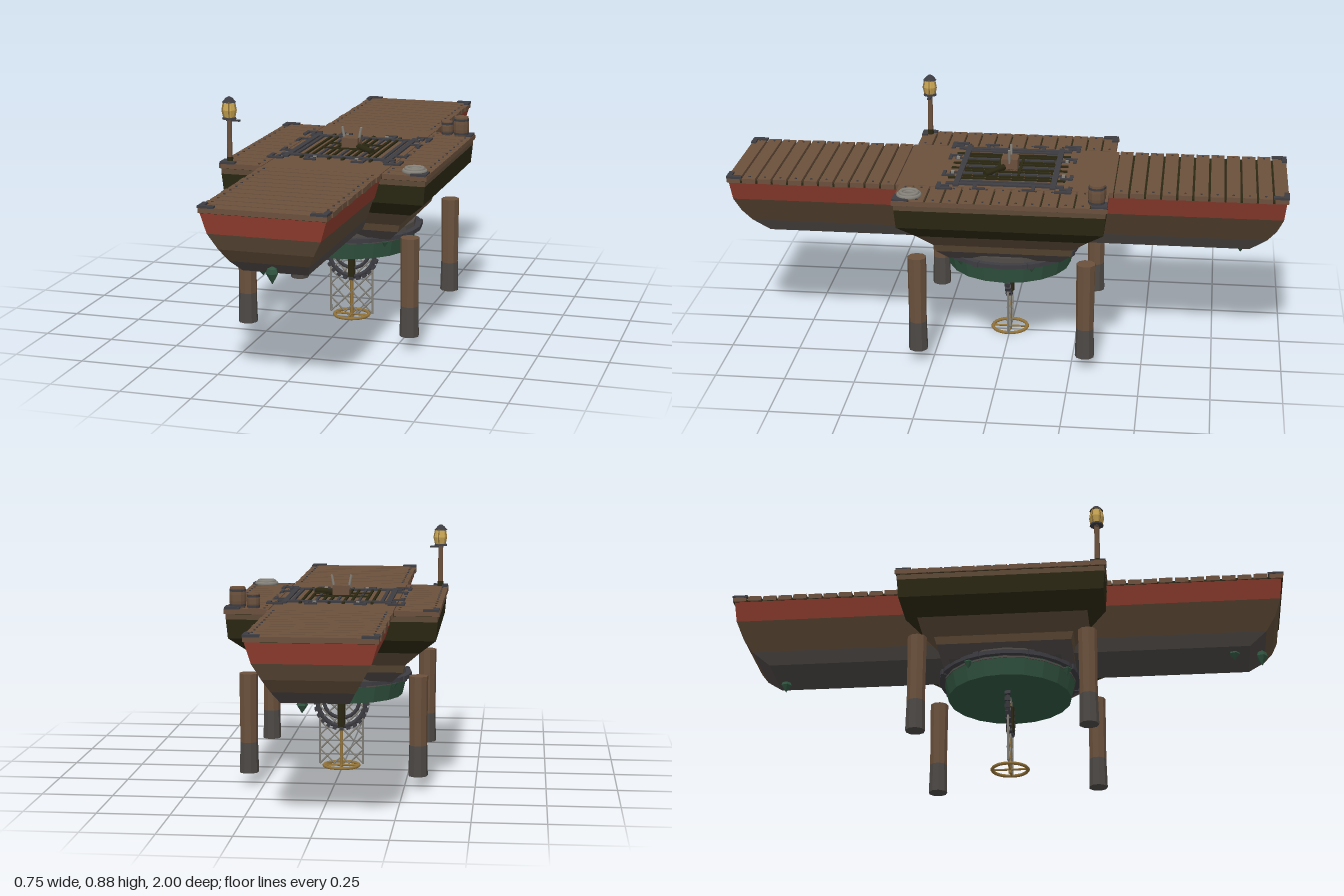
import * as THREE from 'three';

const mat = (name, color) => { const m = new THREE.MeshStandardMaterial({ color }); m.name = name; return m; };

export function createModel() {
  const root = new THREE.Group();
  root.name = 'floatingPlatform';
  const wood = mat('deckWood', 0x6a503c);
  const hullWood = mat('hullWood', 0x5c4936);
  const bilge = mat('bilgeGrey', 0x4c4845);
  const olive = mat('tarOlive', 0x2a2712);
  const red = mat('redPaint', 0x8e3b2e);
  const green = mat('greenMetal', 0x315440);
  const iron = mat('darkIron', 0x3c3c42);
  const brass = mat('brass', 0x94743a);
  const steel = mat('paleSteel', 0x85827a);
  const glass = mat('lampGlass', 0xc9a653);

  const flat = g => { const n = g.index ? g.toNonIndexed() : g; n.computeVertexNormals(); return n; };
  const add = (name, geo, m, x = 0, y = 0, z = 0, parent = root) => {
    const mesh = new THREE.Mesh(geo, m);
    mesh.name = name;
    mesh.position.set(x, y, z);
    parent.add(mesh);
    return mesh;
  };
  const box = (name, w, h, d, m, x, y, z, parent) => add(name, new THREE.BoxGeometry(w, h, d), m, x, y, z, parent);
  const cyl = (name, rt, rb, y0, y1, sides, m, x = 0, z = 0) =>
    add(name, flat(new THREE.CylinderGeometry(rt, rb, y1 - y0, sides)), m, x, (y0 + y1) / 2, z);
  const rod = (name, a, b, r, m, sides = 6) => {
    const p = new THREE.Vector3(...a), q = new THREE.Vector3(...b), d = q.clone().sub(p);
    const mid = p.clone().add(q).multiplyScalar(0.5);
    const mesh = add(name, new THREE.CylinderGeometry(r, r, d.length(), sides), m, mid.x, mid.y, mid.z);
    mesh.quaternion.setFromUnitVectors(new THREE.Vector3(0, 1, 0), d.normalize());
    return mesh;
  };
  const four = fn => { for (const sx of [-1, 1]) for (const sz of [-1, 1]) fn(sx, sz); };

  // Hull shells: rectangular rings [y, halfX, halfZ] from top to bottom, one colour per band
  const hull = (name, rings, mats) => {
    const corner = ([y, x, z], i) => [[x, y, z], [x, y, -z], [-x, y, -z], [-x, y, z]][i % 4];
    mats.forEach((m, k) => {
      const pos = [], a = rings[k], b = rings[k + 1];
      for (let i = 0; i < 4; i++) {
        const A = corner(a, i), B = corner(a, i + 1), C = corner(b, i + 1), D = corner(b, i);
        pos.push(...A, ...D, ...C, ...A, ...C, ...B);
      }
      if (k === mats.length - 1) {
        const c = [0, 1, 2, 3].map(i => corner(b, i));
        pos.push(...c[0], ...c[3], ...c[2], ...c[0], ...c[2], ...c[1]);
      }
      const g = new THREE.BufferGeometry();
      g.setAttribute('position', new THREE.Float32BufferAttribute(pos, 3));
      g.computeVertexNormals();
      add(name + 'Band' + (k + 1), g, m);
    });
  };
  hull('longHull', [[0.628, 0.212, 0.99], [0.555, 0.19, 0.983], [0.5, 0.16, 0.962], [0.455, 0.135, 0.93], [0.41, 0.112, 0.87]],
    [red, hullWood, hullWood, bilge]);
  hull('crossHull', [[0.628, 0.368, 0.368], [0.605, 0.368, 0.368], [0.538, 0.362, 0.362], [0.485, 0.302, 0.302],
    [0.432, 0.248, 0.248], [0.405, 0.24, 0.24], [0.365, 0.2, 0.2]],
    [hullWood, olive, olive, hullWood, hullWood, bilge]);

  // Deck: dark underlay, solid centre, planks with nails
  box('longUnderlay', 0.424, 0.008, 1.99, olive, 0, 0.628, 0);
  box('crossUnderlay', 0.74, 0.008, 0.74, olive, 0, 0.628, 0);
  box('centreDeck', 0.43, 0.018, 0.77, wood, 0, 0.634, 0);
  const nail = new THREE.CylinderGeometry(0.004, 0.004, 0.004, 6);
  const pitch = 0.0559;
  for (const s of [-1, 1]) {
    for (let i = 0; i < 11; i++) {
      const z = s * (0.385 + pitch * (i + 0.5));
      box('endPlank', i % 3 ? 0.43 : 0.436, 0.018, pitch - 0.008, wood, 0, 0.634, z);
      for (const sx of [-1, 1]) add('nail', nail, iron, sx * 0.195, 0.644, z);
    }
    for (let i = 0; i < 13; i++) {
      const z = -0.375 + (0.75 / 13) * (i + 0.5);
      box('sidePlank', 0.157, 0.018, 0.75 / 13 - 0.007, wood, s * 0.2965, 0.634, z);
      for (const x of [0.235, 0.355]) add('nail', nail, iron, s * x, 0.644, z);
    }
    box('sideRim', 0.006, 0.014, 0.75, wood, s * 0.372, 0.633, 0);
  }

  // Iron corner plates and stepped brackets round the hatch
  const ell = (name, x, z, sx, sz, len, w) => {
    box(name, len, 0.008, w, iron, x - sx * len / 2, 0.645, z - sz * w / 2);
    box(name, w, 0.008, len, iron, x - sx * w / 2, 0.645, z - sz * len / 2);
  };
  four((sx, sz) => {
    ell('endCornerPlate', sx * 0.216, sz * 0.998, sx, sz, 0.055, 0.018);
    ell('sideCornerPlate', sx * 0.373, sz * 0.373, sx, sz, 0.055, 0.022);
    ell('hatchBracket', sx * 0.245, sz * 0.24, sx, sz, 0.06, 0.014);
    ell('hatchBracket', sx * 0.205, sz * 0.235, -sx, sz, 0.04, 0.012);
    ell('hatchBracket', sx * 0.11, sz * 0.235, sx, sz, 0.045, 0.012);
    ell('hatchBracket', sx * 0.235, sz * 0.11, sx, sz, 0.045, 0.012);
    box('hatchBolt', 0.012, 0.014, 0.012, steel, sx * 0.077, 0.645, sz * 0.2);
  });

  // Hatch grille
  for (const s of [-1, 1]) {
    box('hatchFrame', 0.02, 0.008, 0.42, iron, s * 0.185, 0.645, 0);
    box('hatchFrame', 0.42, 0.008, 0.02, iron, 0, 0.646, s * 0.172);
    box('hatchRail', 0.012, 0.008, 0.34, iron, s * 0.16, 0.645, 0);
    box('grilleCross', 0.2, 0.006, 0.009, olive, 0, 0.649, s * 0.04);
  }
  for (let i = -5; i <= 5; i++) {
    box('grilleBar', 0.009, 0.008, i % 2 ? 0.42 : 0.32, i % 3 ? olive : iron, i * 0.0255, 0.645, 0);
  }

  // Winch block with splayed prongs and crank
  box('winchBlock', 0.06, 0.045, 0.06, wood, 0, 0.663, 0);
  for (const s of [-1, 1]) rod('prong', [s * 0.025, 0.665, 0], [s * 0.036, 0.722, 0], 0.005, steel);
  rod('crank', [0.03, 0.656, 0.02], [0.1, 0.652, 0.08], 0.012, olive);

  // Lamp post
  const lx = -0.345, lz = 0.343;
  cyl('lampFoot', 0.011, 0.012, 0.642, 0.662, 8, olive, lx, lz);
  cyl('lampPost', 0.009, 0.01, 0.66, 0.797, 8, wood, lx, lz);
  box('lampArm', 0.05, 0.006, 0.012, iron, lx + 0.015, 0.793, lz);
  cyl('lampBase', 0.023, 0.025, 0.797, 0.804, 10, iron, lx, lz);
  cyl('lampGlassLower', 0.025, 0.018, 0.804, 0.83, 10, glass, lx, lz);
  cyl('lampGlassUpper', 0.019, 0.025, 0.83, 0.859, 10, glass, lx, lz);
  for (let i = 0; i < 5; i++) {
    const a = i * Math.PI * 0.4, c = Math.cos(a), s = Math.sin(a);
    rod('lampBar', [lx + 0.02 * c, 0.804, lz + 0.02 * s], [lx + 0.026 * c, 0.83, lz + 0.026 * s], 0.0025, brass);
    rod('lampBar', [lx + 0.026 * c, 0.83, lz + 0.026 * s], [lx + 0.02 * c, 0.86, lz + 0.02 * s], 0.0025, brass);
  }
  cyl('lampCap', 0.012, 0.025, 0.857, 0.872, 10, iron, lx, lz);
  cyl('lampFinial', 0.004, 0.011, 0.872, 0.877, 8, iron, lx, lz);

  // Barrels
  const barrel = (x, z, r, h) => {
    const p = [[0, 0], [0.88, 0], [1, 0.35], [1, 0.65], [0.88, 1], [0, 1]].map(([a, b]) => new THREE.Vector2(a * r, b * h));
    add('barrel', flat(new THREE.LatheGeometry(p, 12)), wood, x, 0.642, z);
    for (const t of [0.15, 0.85]) cyl('barrelHoop', r * 0.97, r * 0.97, 0.642 + h * t - 0.004, 0.642 + h * t + 0.004, 12, iron, x, z);
  };
  barrel(0.33, -0.335, 0.03, 0.074);
  barrel(0.274, -0.342, 0.023, 0.052);

  // Rope coil
  [[0.037, 0.649], [0.029, 0.656], [0.022, 0.65]].forEach(([r, y]) => {
    add('ropeCoil', new THREE.TorusGeometry(r, 0.008, 6, 20).rotateX(Math.PI / 2), steel, 0.32, y, 0.32);
  });

  // Round turret under the hull with its iron ring
  cyl('turretNeck', 0.235, 0.24, 0.345, 0.385, 20, bilge);
  cyl('turretDrum', 0.24, 0.224, 0.286, 0.355, 20, green);
  cyl('turretRing', 0.258, 0.258, 0.353, 0.368, 24, iron);
  for (let i = 0; i < 8; i++) {
    const a = (i + 0.5) * Math.PI / 4;
    box('ringLug', 0.02, 0.02, 0.02, iron, 0.252 * Math.cos(a), 0.36, 0.252 * Math.sin(a)).rotation.y = -a;
  }

  // Green crystals hanging below the hulls
  const crystal = (x, y, z, r, h) => add('crystal', flat(new THREE.LatheGeometry(
    [[0, -0.5], [0.9, 0.1], [0.7, 0.35], [0, 0.5]].map(([a, b]) => new THREE.Vector2(a * r, b * h)), 5)), green, x, y, z);
  crystal(0.006, 0.415, 0.915, 0.024, 0.062);
  crystal(-0.06, 0.4, 0.815, 0.022, 0.036);
  crystal(0.045, 0.394, -0.84, 0.022, 0.046);
  crystal(-0.108, 0.345, 0.215, 0.02, 0.045);
  crystal(0.17, 0.342, 0.16, 0.016, 0.035);
  crystal(-0.2, 0.345, -0.13, 0.018, 0.04);
  crystal(0.21, 0.345, -0.1, 0.018, 0.04);

  // Four mooring piles, weathered at the foot
  four((sx, sz) => {
    cyl('pile', 0.034, 0.032, 0.16, 0.406, 9, wood, sx * 0.3, sz * 0.3);
    cyl('pileFoot', 0.0321, 0.035, 0.05, 0.16, 9, bilge, sx * 0.3, sz * 0.3);
  });

  // Toothed wheel and hub
  const wheelY = 0.248;
  add('wheelRim', new THREE.TorusGeometry(0.087, 0.009, 6, 28), iron, 0, wheelY, 0);
  add('innerRim', new THREE.TorusGeometry(0.066, 0.007, 6, 24), iron, 0, wheelY + 0.01, 0);
  for (let i = 0; i < 24; i++) {
    const a = i * Math.PI / 12;
    if (Math.sin(a) > 0.35) continue;
    box('wheelTooth', 0.012, 0.014, 0.02, iron, 0.096 * Math.cos(a), wheelY + 0.096 * Math.sin(a), 0).rotation.z = a;
  }
  cyl('hub', 0.015, 0.015, 0.16, 0.255, 8, olive);
  for (const s of [-1, 1]) rod('hubStrut', [s * 0.02, 0.29, 0], [s * 0.02, 0.262, 0], 0.006, steel);

  // Flat lattice ladder
  const top = 0.285, low = 0.02, w = 0.08, cell = 0.0533;
  for (const s of [-1, 1]) {
    rod('latticeRail', [s * w, low, 0], [s * w, top, 0], 0.004, steel);
    for (let k = -3; k <= 4; k++) {
      // Clip each diagonal to the lattice height
      const y0 = low + k * cell, y1 = y0 + 2 * w;
      const a = Math.max(y0, low), b = Math.min(y1, top);
      if (b - a < 0.01) continue;
      rod('latticeBar', [s * (-w + a - y0), a, s * 0.002], [s * (-w + b - y0), b, s * 0.002], 0.0032, steel, 5);
    }
  }

  // Brass shaft and foot ring
  rod('shaft', [0, 0, 0], [0, 0.29, 0], 0.006, brass, 8);
  add('footRing', new THREE.TorusGeometry(0.064, 0.007, 6, 24).rotateX(Math.PI / 2).scale(1, 0.8, 1), brass, 0, 0.014, 0);
  rod('footSpoke', [-0.064, 0.014, 0], [0.064, 0.014, 0], 0.004, brass);
  rod('footSpoke', [0, 0.014, -0.064], [0, 0.014, 0.064], 0.004, brass);

  return root;
}
